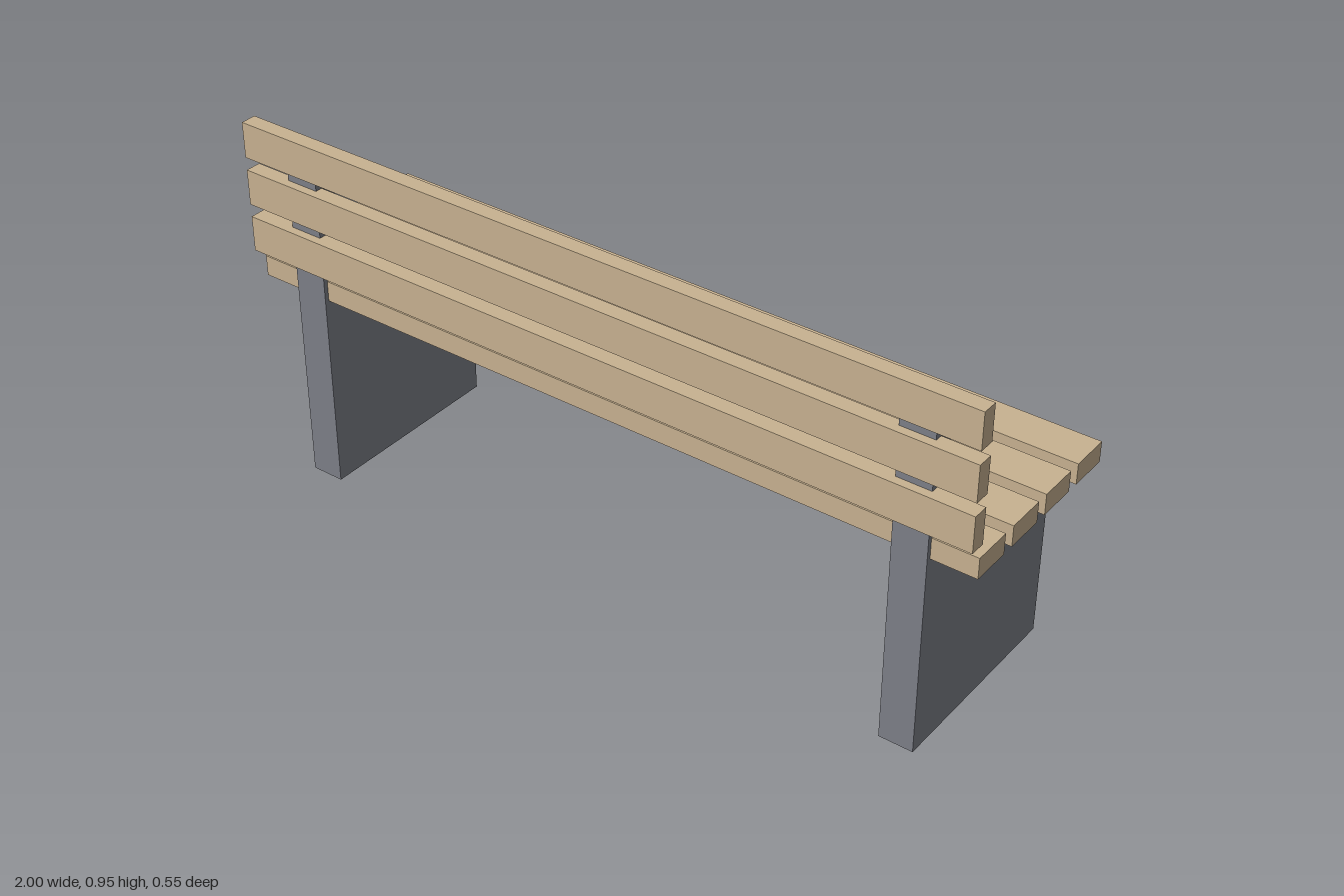
import * as THREE from 'three';

export function createModel() {
  const group = new THREE.Group();
  group.name = 'bench';
  const wood = new THREE.MeshStandardMaterial({ color: 0xc8b291 });
  const metal = new THREE.MeshStandardMaterial({ color: 0x7d8088 });

  const addSlat = (name, height, depth, y, z) => {
    const slat = new THREE.Mesh(new THREE.BoxGeometry(2, height, depth), wood);
    slat.name = name;
    slat.position.set(0, y, z);
    group.add(slat);
  };

  // Seat slats, running along x
  for (let i = 0; i < 4; i++) addSlat('seatSlat', 0.054, 0.105, 0.549, 0.189 - i * 0.137);

  // Backrest slats, on the outer face of the posts
  for (let i = 0; i < 3; i++) addSlat('backSlat', 0.093, 0.041, 0.654 + i * 0.1263, 0.2545);

  // L-shaped side supports: leg panel with upright post, profile drawn as (-z, y)
  const profile = new THREE.Shape([
    [-0.253, 0], [0.274, 0], [0.274, 0.525], [-0.19, 0.525], [-0.19, 0.896], [-0.253, 0.896],
  ].map(([x, y]) => new THREE.Vector2(x, y)));
  const thickness = 0.088;
  const supportGeometry = new THREE.ExtrudeGeometry(profile, { depth: thickness, bevelEnabled: false });
  supportGeometry.translate(0, 0, -thickness / 2).rotateY(Math.PI / 2);
  for (const side of [-1, 1]) {
    const support = new THREE.Mesh(supportGeometry, metal);
    support.name = side > 0 ? 'leftSupport' : 'rightSupport';
    support.position.x = side * 0.842;
    group.add(support);
  }

  return group;
}
